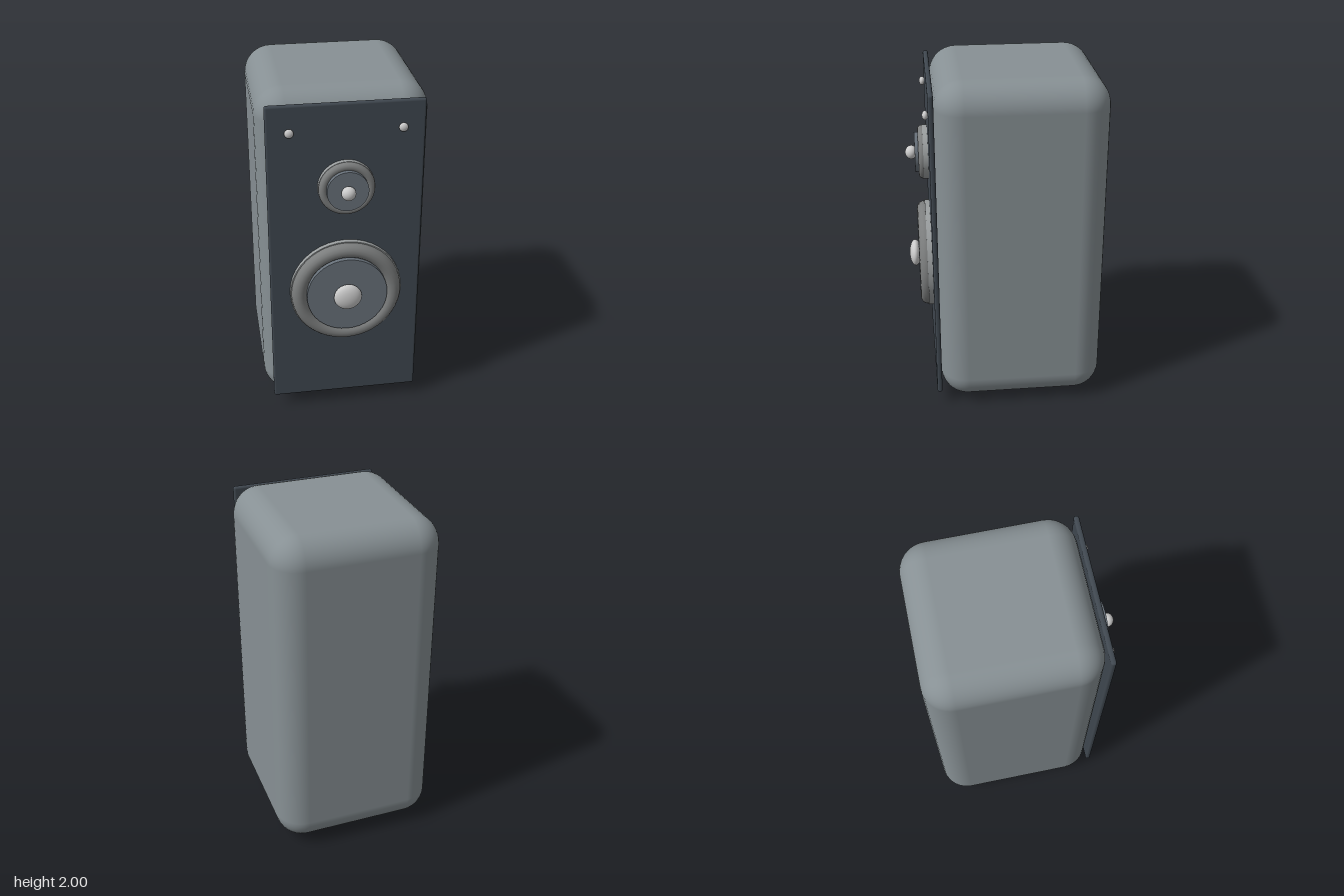
import * as THREE from 'three';
import { RoundedBoxGeometry } from 'three/addons/geometries/RoundedBoxGeometry.js';

const material = (color) => new THREE.MeshStandardMaterial({ color });
const cabinetGrey = material(0x879094);
const baffleDark = material(0x3f474f);
const baseDark = material(0x3c3e3e);
const rimGrey = material(0x9a9e9f);
const surroundGrey = material(0x7c7e7e);
const coneGrey = material(0x68717a);
const metal = material(0xcccccc);

const BAFFLE_FRONT = 0.43;

function addMesh(parent, name, geometry, mat, x, y, z) {
  const mesh = new THREE.Mesh(geometry, mat);
  mesh.name = name;
  mesh.position.set(x, y, z);
  parent.add(mesh);
  return mesh;
}

// Disc whose axis points forward, between two depths
function addDisc(parent, name, radius, back, front, mat) {
  const geometry = new THREE.CylinderGeometry(radius, radius, front - back, 40).rotateX(Math.PI / 2);
  return addMesh(parent, name, geometry, mat, 0, 0, (back + front) / 2);
}

// Sphere squashed along the depth
function addDome(parent, name, radius, depth, x, y, z) {
  const geometry = new THREE.SphereGeometry(radius, 24, 16).rotateX(Math.PI / 2).scale(1, 1, depth / radius);
  return addMesh(parent, name, geometry, metal, x, y, z);
}

// One driver: mounting rim, rolled surround, raised cone and centre dome
function makeDriver(name, y, { rim, ring, tube, cone, dome, domeDepth }) {
  const driver = new THREE.Group();
  driver.name = name;
  driver.position.y = y;
  addDisc(driver, 'mountingRim', rim, BAFFLE_FRONT - 0.01, 0.458, rimGrey);
  addMesh(driver, 'surround', new THREE.TorusGeometry(ring, tube, 16, 48), surroundGrey, 0, 0, 0.46);
  addDisc(driver, 'cone', cone, 0.44, 0.505, coneGrey);
  addDome(driver, 'dustCap', dome, domeDepth, 0, 0, 0.525);
  return driver;
}

export function createModel() {
  const speaker = new THREE.Group();
  speaker.name = 'speaker';

  // Cabinet, front baffle and base
  addMesh(speaker, 'cabinet', new RoundedBoxGeometry(0.95, 1.975, 0.96, 5, 0.16), cabinetGrey, 0, 1.0125, -0.08);
  addMesh(speaker, 'baffle', new RoundedBoxGeometry(0.86, 1.87, 0.03, 3, 0.013), baffleDark, 0, 1.015, 0.415);
  addMesh(speaker, 'base', new RoundedBoxGeometry(0.57, 0.05, 0.63, 3, 0.02), baseDark, 0, 0.025, -0.08);

  // Drivers
  speaker.add(
    makeDriver('woofer', 0.815, { rim: 0.32, ring: 0.27, tube: 0.044, cone: 0.23, dome: 0.08, domeDepth: 0.035 }),
    makeDriver('tweeter', 1.47, { rim: 0.157, ring: 0.13, tube: 0.025, cone: 0.115, dome: 0.04, domeDepth: 0.035 }),
  );

  // Screws in the top corners
  for (const side of [-1, 1]) {
    addDome(speaker, side > 0 ? 'leftScrew' : 'rightScrew', 0.025, 0.017, side * 0.305, 1.8, 0.443);
  }
  return speaker;
}
